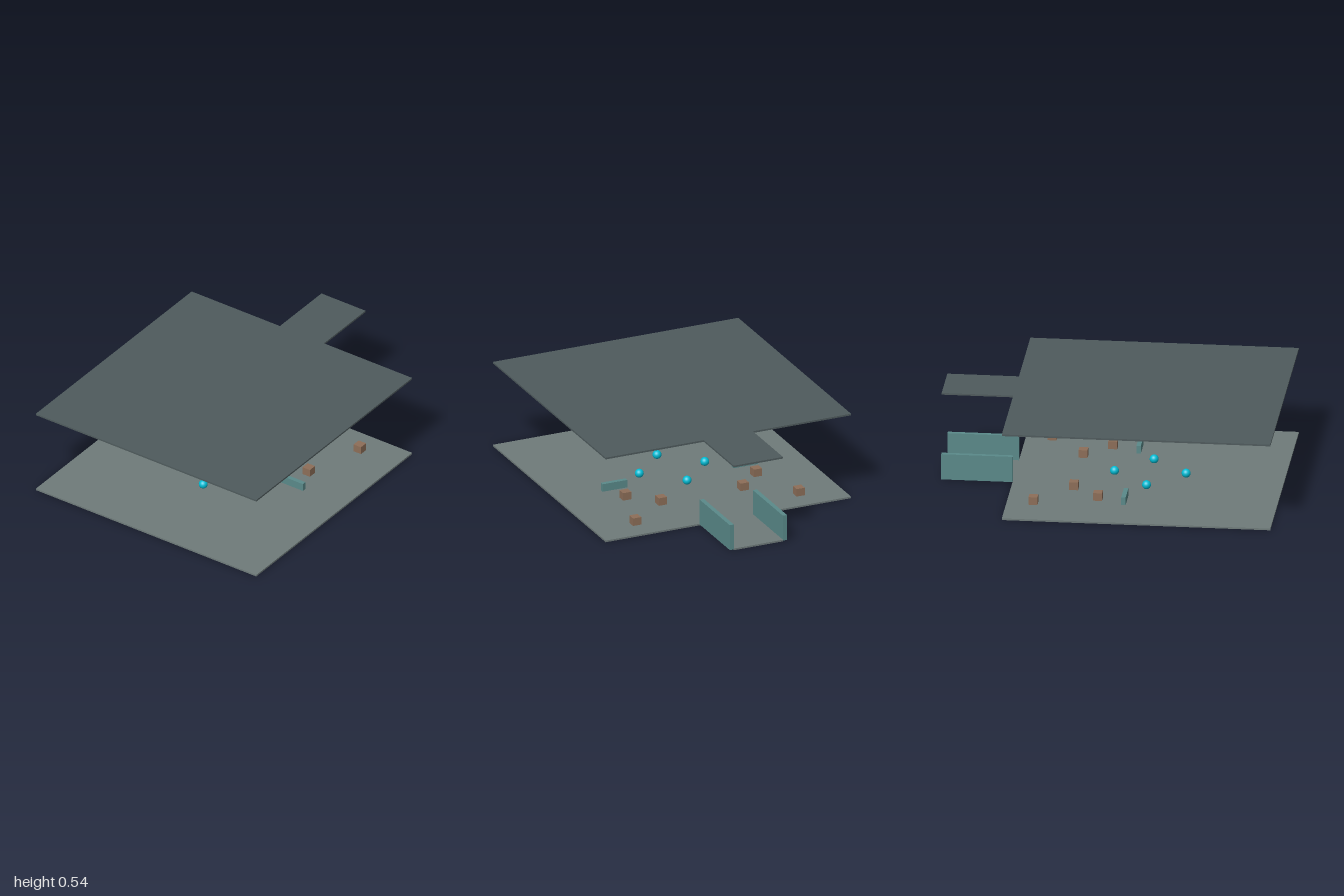
import * as THREE from 'three';

const U = 1 / 19; // one layout unit
const SLAB = 0.2; // slab thickness in layout units

const mat = (color) => new THREE.MeshStandardMaterial({ color });

export function createModel() {
  const model = new THREE.Group();
  const layout = new THREE.Group();
  layout.name = 'arena';
  layout.scale.setScalar(U);
  model.add(layout);

  const floorMat = mat(0x6f7b7a);
  const ceilingMat = mat(0x4f5b5d);
  const wallMat = mat(0x5a8a8a);
  const crateMat = mat(0x8d6e58);
  const orbMat = mat(0x00bcd4);

  const add = (name, geometry, material, x, y, z) => {
    const mesh = new THREE.Mesh(geometry, material);
    mesh.name = name;
    mesh.position.set(x, y, z);
    layout.add(mesh);
  };
  // box standing on height y
  const box = (name, material, [w, h, d], x, y, z) =>
    add(name, new THREE.BoxGeometry(w, h, d), material, x, y + h / 2, z);

  // floor and ceiling: a square room with a narrow corridor at the back
  for (const [label, material, y] of [['Floor', floorMat, 0], ['Ceiling', ceilingMat, 10]]) {
    box('room' + label, material, [30, SLAB, 30], 0, y, 4);
    box('corridor' + label, material, [6, SLAB, 8], 0, y, -15);
  }

  const ground = SLAB / 2;
  for (const side of [1, -1]) {
    const label = side > 0 ? 'left' : 'right';
    // corridor side walls
    box(label + 'CorridorWall', wallMat, [0.5, 3, 8], side * 3.25, ground, -15);
    // low cover walls
    box(label + 'CoverWall', wallMat, [3, 1, 0.5], side * 8, ground, 2);
    // crates
    for (const [x, z] of [[8, -1], [5, -4], [10, -8]]) {
      box(label + 'Crate', crateMat, [1, 1, 1], side * x, ground, z);
    }
  }

  // orbs in a diamond around the room centre
  const orb = new THREE.SphereGeometry(0.5, 24, 16);
  for (const [x, z] of [[0, 0], [4, 4], [-4, 4], [0, 8]]) {
    add('orb', orb, orbMat, x, ground + 0.5, z);
  }

  return model;
}
